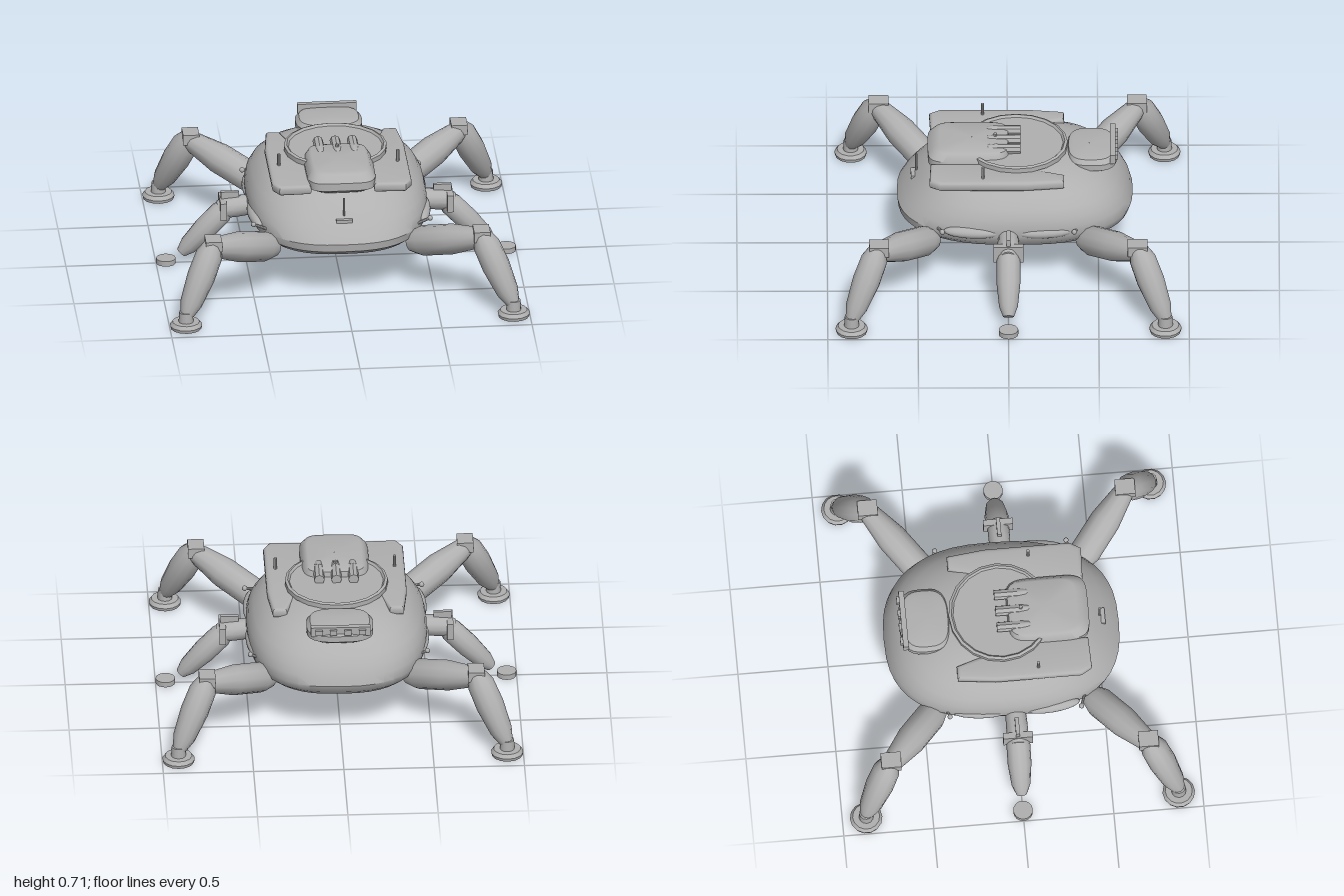
import * as THREE from 'three';
import { toCreasedNormals } from 'three/addons/utils/BufferGeometryUtils.js';

const grey = new THREE.MeshStandardMaterial({ color: 0xb0b0b0 });
grey.name = 'plain grey';
const V = (a) => new THREE.Vector3(...a);

function add(parent, name, geo, pos = [0, 0, 0], rot = [0, 0, 0]) {
  const m = new THREE.Mesh(geo, grey);
  m.name = name;
  m.position.set(...pos);
  m.rotation.set(...rot);
  parent.add(m);
  return m;
}
const box = (p, name, size, pos, rot) => add(p, name, new THREE.BoxGeometry(...size), pos, rot);

// Stacked rounded-rectangle rings; each level is [y, half width, back z, front z]
function loft(levels, exp, seg, crease) {
  const pos = [], idx = [];
  const pw = (v) => Math.sign(v) * Math.abs(v) ** (2 / exp);
  levels.forEach(([y, w, zb, zf], j) => {
    for (let i = 0; i < seg; i++) {
      const t = (i / seg) * Math.PI * 2;
      pos.push(pw(Math.cos(t)) * w, y, (zb + zf) / 2 + pw(Math.sin(t)) * (zf - zb) / 2);
      if (j === 0) continue;
      const n = (i + 1) % seg, a = (j - 1) * seg + i, b = (j - 1) * seg + n, c = j * seg + n, d = j * seg + i;
      idx.push(a, d, c, a, c, b);
    }
  });
  const g = new THREE.BufferGeometry();
  g.setAttribute('position', new THREE.Float32BufferAttribute(pos, 3));
  g.setIndex(idx);
  return toCreasedNormals(g, crease);
}

// Tapered limb between two points; profile is [radius, fraction along]
function limb(parent, name, from, to, profile, sides = 12) {
  const a = V(from), dir = V(to).sub(a), len = dir.length();
  const pts = profile.map(([r, f]) => new THREE.Vector2(r, f * len));
  const m = add(parent, name, toCreasedNormals(new THREE.LatheGeometry(pts, sides), 0.62), from);
  m.quaternion.setFromUnitVectors(new THREE.Vector3(0, 1, 0), dir.normalize());
  return m;
}
const rod = (p, name, a, b, r) => limb(p, name, a, b, [[0, 0], [r, 0], [r, 1], [0, 1]], 8);

// Corner leg for side sx and end sz
function cornerLeg(sx, sz) {
  const g = new THREE.Group();
  g.name = (sz > 0 ? 'front' : 'back') + (sx > 0 ? 'Left' : 'Right') + 'Leg';
  const p = (x, y, z) => [x * sx, y, z * sz];
  add(g, 'hipJoint', new THREE.SphereGeometry(0.055, 12, 8), p(0.42, 0.265, 0.44));
  limb(g, 'thigh', p(0.385, 0.27, 0.42), p(0.77, 0.42, 0.735),
    [[0, 0], [0.06, 0], [0.085, 0.15], [0.085, 0.55], [0.06, 0.88], [0.045, 1], [0, 1]]);
  box(g, 'kneeBlock', [0.09, 0.06, 0.11], p(0.745, 0.435, 0.715));
  limb(g, 'shin', p(0.745, 0.435, 0.72), p(0.908, 0.07, 0.868),
    [[0, 0], [0.05, 0], [0.075, 0.15], [0.078, 0.45], [0.062, 0.82], [0.036, 1], [0, 1]]);
  add(g, 'ankle', new THREE.CylinderGeometry(0.038, 0.042, 0.07, 12), p(0.91, 0.06, 0.868));
  add(g, 'footPad', new THREE.CylinderGeometry(0.075, 0.09, 0.02, 14), p(0.91, 0.028, 0.868));
  add(g, 'footSole', new THREE.CylinderGeometry(0.09, 0.086, 0.018, 14), p(0.91, 0.009, 0.868));
  rod(g, 'hipRod', p(0.38, 0.35, 0.4), p(0.49, 0.38, 0.365), 0.008);
  add(g, 'hipRodTip', new THREE.SphereGeometry(0.015, 8, 6), p(0.49, 0.38, 0.365));
  return g;
}

function middleLeg(sx) {
  const g = new THREE.Group();
  g.name = sx > 0 ? 'middleLeftLeg' : 'middleRightLeg';
  const p = (x, y, z) => [x * sx, y, z];
  limb(g, 'thigh', p(0.44, 0.34, 0), p(0.66, 0.32, 0), [[0, 0], [0.055, 0], [0.06, 0.5], [0.06, 0.8], [0.04, 1], [0, 1]]);
  box(g, 'kneePlate', [0.035, 0.1, 0.165], p(0.63, 0.33, 0));
  box(g, 'kneeFin', [0.1, 0.07, 0.022], p(0.59, 0.385, 0));
  limb(g, 'shin', p(0.6, 0.335, 0), p(0.86, 0.06, 0),
    [[0, 0], [0.045, 0], [0.066, 0.15], [0.066, 0.5], [0.052, 0.85], [0.03, 1], [0, 1]]);
  add(g, 'footPad', new THREE.CylinderGeometry(0.054, 0.054, 0.03, 16), p(0.945, 0.015, 0));
  return g;
}

export function createModel() {
  const model = new THREE.Group();
  model.name = 'sixLeggedWalker';

  // Domed hull with a flat belly
  add(model, 'hull', loft([
    [0.247, 0.001, -0.036, -0.034], [0.247, 0.41, -0.58, 0.5], [0.27, 0.45, -0.63, 0.56], [0.306, 0.485, -0.675, 0.61],
    [0.35, 0.499, -0.69, 0.615], [0.4, 0.499, -0.675, 0.58], [0.45, 0.488, -0.647, 0.53], [0.5, 0.46, -0.61, 0.48],
    [0.55, 0.41, -0.55, 0.42], [0.59, 0.35, -0.475, 0.35], [0.62, 0.28, -0.4, 0.27], [0.64, 0.19, -0.3, 0.16],
    [0.65, 0.001, -0.07, -0.069]], 2.6, 48, 0.6));

  // Turret ring
  add(model, 'turretBase', new THREE.CylinderGeometry(0.265, 0.27, 0.06, 20), [0, 0.625, -0.045]);
  add(model, 'turretRim', toCreasedNormals(new THREE.LatheGeometry(
    [[0.26, 0.635], [0.285, 0.635], [0.285, 0.662], [0.27, 0.668], [0.26, 0.655], [0.26, 0.635]]
      .map((q) => new THREE.Vector2(...q)), 20), 0.5), [0, 0, -0.045]);

  // Front launcher housing
  add(model, 'launcherHousing', loft([
    [0.575, 0.001, 0.22, 0.221], [0.575, 0.15, 0, 0.41], [0.6, 0.19, -0.01, 0.445], [0.645, 0.19, -0.01, 0.445],
    [0.685, 0.165, 0.0, 0.41], [0.693, 0.15, 0.02, 0.38], [0.693, 0.001, 0.2, 0.201]], 5, 40, 0.6));
  for (const x of [-0.095, 0, 0.095]) {
    rod(model, 'launchTube', [x, 0.675, -0.07], [x, 0.675, 0.06], 0.029);
    limb(model, 'tubeNose', [x, 0.675, 0.06], [x, 0.68, 0.14], [[0, 0], [0.029, 0], [0.022, 0.6], [0, 1]]);
  }
  rod(model, 'sightPin', [0, 0.68, 0.07], [0, 0.715, 0.07], 0.01);

  // Rear equipment pod with lamp bar
  add(model, 'rearPod', loft([
    [0.55, 0.001, -0.45, -0.449], [0.56, 0.15, -0.57, -0.36], [0.585, 0.185, -0.605, -0.33], [0.62, 0.185, -0.605, -0.325],
    [0.645, 0.165, -0.585, -0.335], [0.653, 0.13, -0.55, -0.36], [0.653, 0.001, -0.45, -0.449]], 3, 32, 0.6));
  box(model, 'lampBar', [0.33, 0.055, 0.03], [0, 0.645, -0.58]);
  for (let i = 0; i < 4; i++) box(model, 'lamp', [0.04, 0.03, 0.016], [-0.12 + i * 0.08, 0.645, -0.601]);

  // Shoulder plates, outline in plan then raised with a bevel
  const outline = [[0.195, 0.41], [0.34, 0.415], [0.367, 0.37], [0.367, -0.1], [0.345, -0.29], [0.3, -0.29], [0.24, -0.1], [0.195, 0.05]];
  for (const s of [-1, 1]) {
    const shape = new THREE.Shape(outline.map(([x, z]) => new THREE.Vector2(x * s, -z)));
    const geo = new THREE.ExtrudeGeometry(shape, { depth: 0.02, bevelSize: 0.02, bevelThickness: 0.018, bevelSegments: 3 });
    geo.rotateX(-Math.PI / 2);
    add(model, 'shoulderPlate', toCreasedNormals(geo, 0.7), [0, 0.594, 0]);
    rod(model, 'antenna', [0.33 * s, 0.62, 0.14], [0.33 * s, 0.7, 0.14], 0.009);
    // Side fairings
    for (const z of [-0.2, 0.2]) {
      const f = add(model, 'sideFairing', new THREE.SphereGeometry(1, 20, 10), [0.465 * s, 0.365, z], [0, z * s * -0.4, 0]);
      f.scale.set(0.042, 0.035, 0.16);
    }
    // Belly skids
    box(model, 'bellySkid', [0.115, 0.035, 0.36], [0.225 * s, 0.243, 0.03]);
    model.add(middleLeg(s), cornerLeg(s, 1), cornerLeg(s, -1));
  }

  // Nose slot and spike
  box(model, 'noseSlot', [0.09, 0.018, 0.04], [0, 0.455, 0.518]);
  rod(model, 'noseSpike', [0, 0.48, 0.508], [0, 0.585, 0.508], 0.006);

  // Tilted hatch under the belly
  box(model, 'bellyHatch', [0.23, 0.058, 0.24], [0, 0.243, -0.195], [0.54, 0, 0]);
  return model;
}
